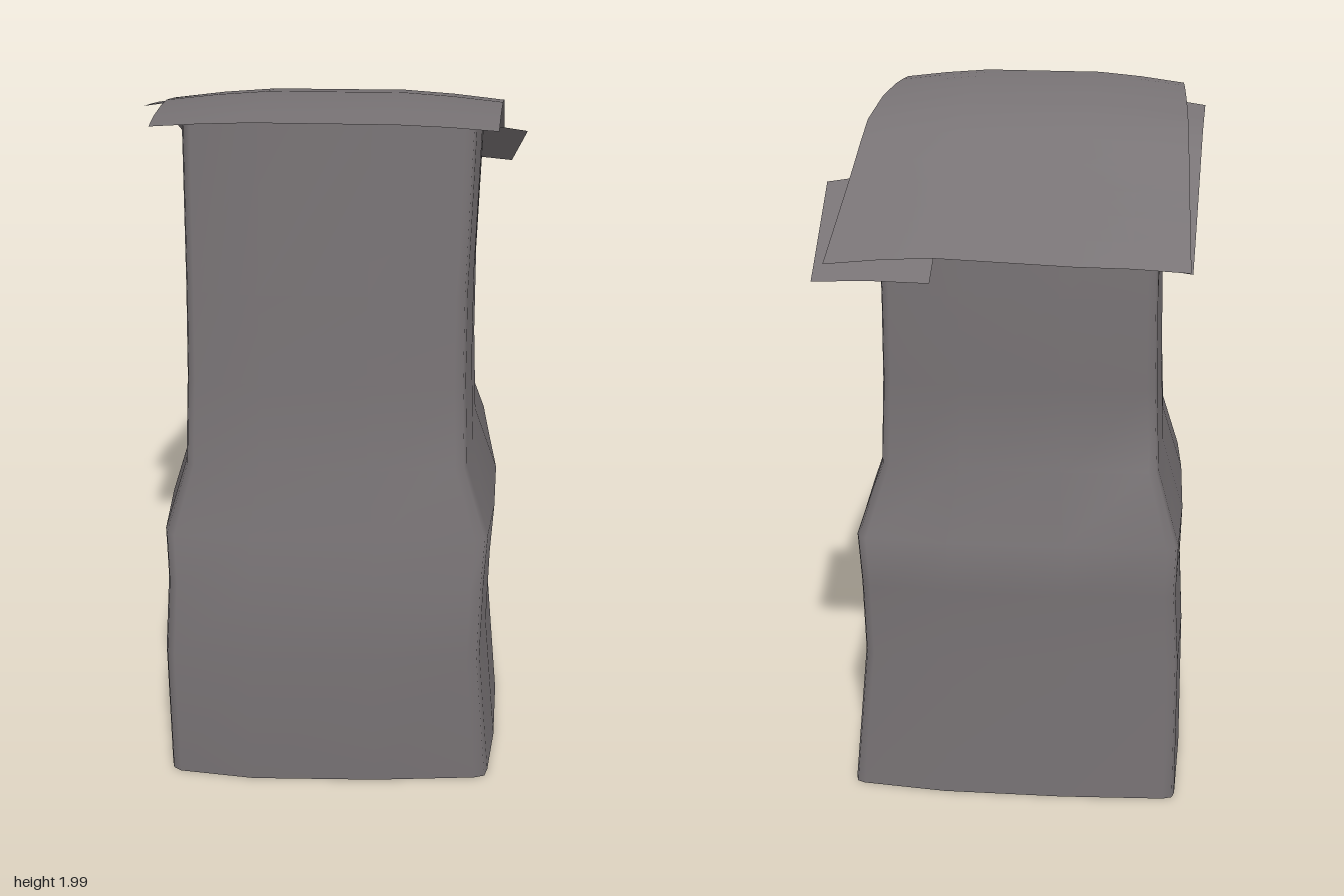
import * as THREE from 'three';

const stone = new THREE.MeshStandardMaterial({ color: 0x777274, side: THREE.DoubleSide });
stone.name = 'weathered stone';

// Linear lookup in a short list of [key, value] pairs, keys descending
function lookup(table, key) {
  for (let i = 1; i < table.length; i++) {
    const [k0, v0] = table[i - 1], [k1, v1] = table[i];
    if (key >= k1 || i === table.length - 1) return v0 + (v1 - v0) * (key - k0) / (k1 - k0);
  }
}

// Height of the curved roof: a ridge falling to the back, drooping to the sides
const ridge = [[0.56, 1.996], [0.4, 2.0], [0.2, 1.985], [0, 1.942], [-0.2, 1.82], [-0.5, 1.652], [-0.6, 1.598]];
const roofY = (x, z) => lookup(ridge, z) - 0.032 * (x / 0.46) ** 2;

// Surface through a list of equally long rows of [x, y, z] points
function skin(rows, closed) {
  const n = rows[0].length, index = [];
  for (let r = 0; r < rows.length - 1; r++) {
    for (let c = 0; c < (closed ? n : n - 1); c++) {
      const a = r * n + c, b = r * n + (c + 1) % n;
      index.push(a, b, b + n, a, b + n, a + n);
    }
  }
  const g = new THREE.BufferGeometry();
  g.setAttribute('position', new THREE.Float32BufferAttribute(rows.flat(2), 3));
  g.setIndex(index);
  g.computeVertexNormals();
  return g;
}

// Thin roof sheet stretched between a front and a back edge of [x, z] points
function roofSheet(name, front, back, drop) {
  const rows = [], steps = 12;
  for (let i = 0; i <= steps; i++) {
    const t = i / steps;
    rows.push(front.map(([fx, fz], c) => {
      const x = fx + (back[c][0] - fx) * t, z = fz + (back[c][1] - fz) * t;
      return [x, roofY(x, z) - drop, z];
    }));
  }
  const mesh = new THREE.Mesh(skin(rows, false), stone);
  mesh.name = name;
  return mesh;
}

export function createModel() {
  const model = new THREE.Group();
  model.name = 'chimney';

  // Bulging square cross-section with rounded corners, counterclockwise from above
  const section = [
    [-0.98, 0.86], [-0.965, 0.92], [-0.92, 0.95], [-0.48, 1], [0.25, 0.98],
    [0.84, 0.93], [0.9, 0.91], [0.92, 0.85], [0.97, 0.5], [1, 0], [0.97, -0.5],
    [0.95, -0.88], [0.935, -0.93], [0.89, -0.95], [0.4, -1], [-0.3, -1],
    [-0.9, -0.97], [-0.955, -0.95], [-0.97, -0.9], [-1, -0.3], [-1, 0.4],
  ];
  // Levels: y, left x, right x, back z, front z
  const levels = [
    [0, -0.505, 0.49, -0.43, 0.55], [0.43, -0.5, 0.448, -0.418, 0.57],
    [0.65, -0.487, 0.452, -0.42, 0.537], [0.8, -0.49, 0.46, -0.425, 0.525],
    [1.0, -0.427, 0.39, -0.355, 0.48], [1.25, -0.415, 0.378, -0.36, 0.462],
    [1.5, -0.41, 0.375, -0.36, 0.445], [3, -0.405, 0.385, -0.355, 0.422],
  ];
  const rings = levels.map(([y, x0, x1, z0, z1]) => section.map(([u, v]) => {
    const x = (x0 + x1) / 2 + u * (x1 - x0) / 2, z = (z0 + z1) / 2 + v * (z1 - z0) / 2;
    // The last ring is trimmed to the underside of the roof
    return [x, Math.min(y, 1.957, roofY(x, z) - 0.01), z];
  }));
  const body = new THREE.Mesh(skin(rings.reverse().map(r => r.slice().reverse()), true), stone);
  body.name = 'shaft';
  // Rings run top to bottom and clockwise, so reverse the faces if they look inward
  const p = body.geometry.attributes.position, nrm = body.geometry.attributes.normal;
  if (p.getX(0) * nrm.getX(0) + p.getZ(0) * nrm.getZ(0) < 0) {
    body.geometry.setIndex(Array.from(body.geometry.index.array).reverse());
    body.geometry.computeVertexNormals();
  }
  model.add(body);

  // Main roof and two patch sheets sticking out below it
  model.add(roofSheet('roof',
    [[-0.46, 0.5], [-0.33, 0.525], [-0.2, 0.545], [0.15, 0.555], [0.28, 0.543], [0.4, 0.53]],
    [[-0.48, -0.505], [-0.33, -0.518], [-0.18, -0.53], [0.185, -0.51], [0.32, -0.505], [0.475, -0.5]], 0));
  model.add(roofSheet('leftPatch',
    [[-0.52, 0.21], [-0.46, 0.21], [-0.4, 0.21]], [[-0.485, -0.5], [-0.44, -0.5], [-0.39, -0.5]], 0.006));
  model.add(roofSheet('rearPatch',
    [[0.185, -0.175], [0.35, -0.18], [0.52, -0.185]], [[0.185, -0.575], [0.34, -0.555], [0.5, -0.535]], 0.015));
  return model;
}
